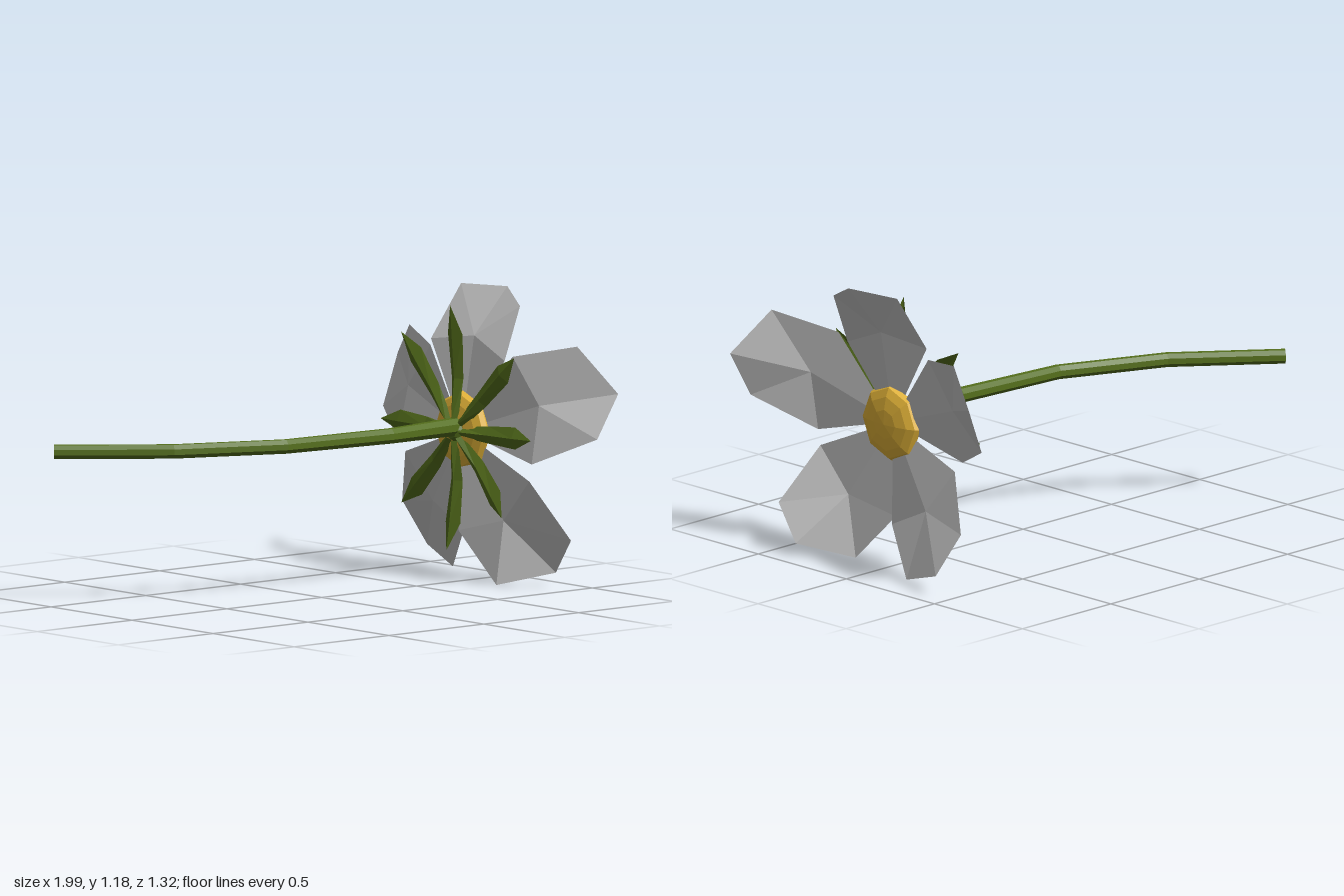
import * as THREE from 'three';

const mat = (color) => new THREE.MeshStandardMaterial({ color, flatShading: true, side: THREE.DoubleSide });
const white = mat(0xcccccc), green = mat(0x556f1c), yellow = mat(0xe8b83a);
const HEART = [0.75, 0.612, -0.015]; // middle of the blossom, which faces +x

function facets(name, points, faces, material) {
  const indexed = new THREE.BufferGeometry();
  indexed.setAttribute('position', new THREE.Float32BufferAttribute(points.flat(), 3));
  indexed.setIndex(faces.flat());
  const geometry = indexed.toNonIndexed();
  geometry.computeVertexNormals();
  const mesh = new THREE.Mesh(geometry, material);
  mesh.name = name;
  return mesh;
}

// Cupped petal: a fan around its middle point, narrowing to the heart.
function petal(middle, rim) {
  const points = [middle, HEART, ...rim];
  const n = rim.length + 1;
  const faces = Array.from({ length: n }, (_, i) => [0, 1 + i, 1 + ((i + 1) % n)]);
  return facets('petal', points, faces, white);
}

// Pointed, folded leaf behind the petals.
function sepal(angle, length, tipX) {
  const profile = [[0.04, 0.02, 0.715], [0.2, 0.035, 0.735], [0.37, 0.045, 0.735]]; // radius, half width, x
  const dir = [Math.cos(angle), Math.sin(angle)];
  const at = (r, w, x) => [x, HEART[1] + r * dir[0] - w * dir[1], HEART[2] + r * dir[1] + w * dir[0]];
  const points = [], faces = [];
  profile.forEach(([r, w, x], i) => {
    const k = r * length / 0.48;
    const px = x + (tipX - 0.72) * (r / 0.48) ** 2;
    points.push(at(k, -w, px), at(k, 0, px - 0.02), at(k, w, px));
    for (let j = 0; i && j < 2; j++) {
      const a = 3 * (i - 1) + j, b = a + 3;
      faces.push([a, a + 1, b + 1], [a, b + 1, b]);
    }
  });
  points.push(at(length, 0, tipX));
  faces.push([6, 7, 9], [7, 8, 9]);
  return facets('sepal', points, faces, green);
}

// Bent stem: eight-sided rings set square to a path in the xz plane.
function stem() {
  const path = [[-0.98, -0.505, 0.03], [-0.607, -0.205, 0.03], [-0.175, -0.02, 0.03], [0.34, 0.023, 0.032], [0.72, -0.01, 0.038]];
  const sides = 8, points = [], faces = [];
  path.forEach(([x, z, r], i) => {
    const a = path[Math.max(i - 1, 0)], b = path[Math.min(i + 1, path.length - 1)];
    const d = new THREE.Vector2(b[0] - a[0], b[1] - a[1]).normalize();
    for (let j = 0; j < sides; j++) {
      const t = (j + 0.5) / sides * Math.PI * 2, across = r * Math.cos(t);
      points.push([x - d.y * across, 0.63 + r * Math.sin(t), z + d.x * across]);
      if (i) {
        const p = (i - 1) * sides + j, q = (i - 1) * sides + (j + 1) % sides;
        faces.push([p, p + sides, q], [q, p + sides, q + sides]);
      }
    }
  });
  for (let j = 1; j < sides - 1; j++) faces.push([0, j, j + 1]);
  return facets('stem', points, faces, green);
}

export function createModel() {
  const group = new THREE.Group();
  group.name = 'flower';
  group.add(stem());

  // Swelling where the stem meets the blossom
  const calyx = new THREE.Mesh(new THREE.CylinderGeometry(0.07, 0.038, 0.05, 8), green);
  calyx.name = 'calyx';
  calyx.rotation.z = -Math.PI / 2;
  calyx.position.set(0.715, 0.62, HEART[2]);
  group.add(calyx);

  // Sepals: tip distance and tip x, counted round from the top towards +z
  const sepals = [[0.51, 0.69], [0.46, 0.75], [0.42, 0.755], [0.45, 0.69], [0.48, 0.67], [0.46, 0.71], [0.47, 0.725], [0.51, 0.74]];
  sepals.forEach(([length, tipX], i) => group.add(sepal(i * Math.PI / 4, length, tipX)));

  // Petals: top, left, lower left, lower right, right
  group.add(
    petal([0.8, 0.993, 0.005], [[0.76, 0.961, -0.215], [0.87, 1.181, -0.158], [0.92, 1.188, 0.069], [0.88, 1.124, 0.194], [0.79, 0.911, 0.204]]),
    petal([0.81, 0.748, 0.393], [[0.78, 0.936, 0.265], [0.89, 0.996, 0.535], [0.997, 0.808, 0.663], [0.917, 0.627, 0.627], [0.79, 0.51, 0.371]]),
    petal([0.775, 0.268, 0.215], [[0.78, 0.442, 0.368], [0.9, 0.204, 0.485], [0.92, 0.06, 0.368], [0.762, 0.005, 0.186], [0.725, 0.21, -0.005]]),
    petal([0.8, 0.297, -0.25], [[0.79, 0.2, -0.048], [0.885, 0.025, -0.226], [0.925, 0.09, -0.432], [0.86, 0.265, -0.51], [0.77, 0.485, -0.385]]),
    petal([0.8, 0.748, -0.403], [[0.76, 0.528, -0.42], [0.862, 0.634, -0.63], [0.964, 0.837, -0.659], [0.89, 0.975, -0.5], [0.79, 0.929, -0.254]]),
  );

  // Flattened yellow heart
  const heart = new THREE.Mesh(new THREE.SphereGeometry(0.16, 8, 8), yellow);
  heart.name = 'heart';
  heart.scale.y = 0.3;
  heart.rotation.z = -Math.PI / 2;
  heart.position.set(0.757, HEART[1], HEART[2]);
  group.add(heart);
  return group;
}
